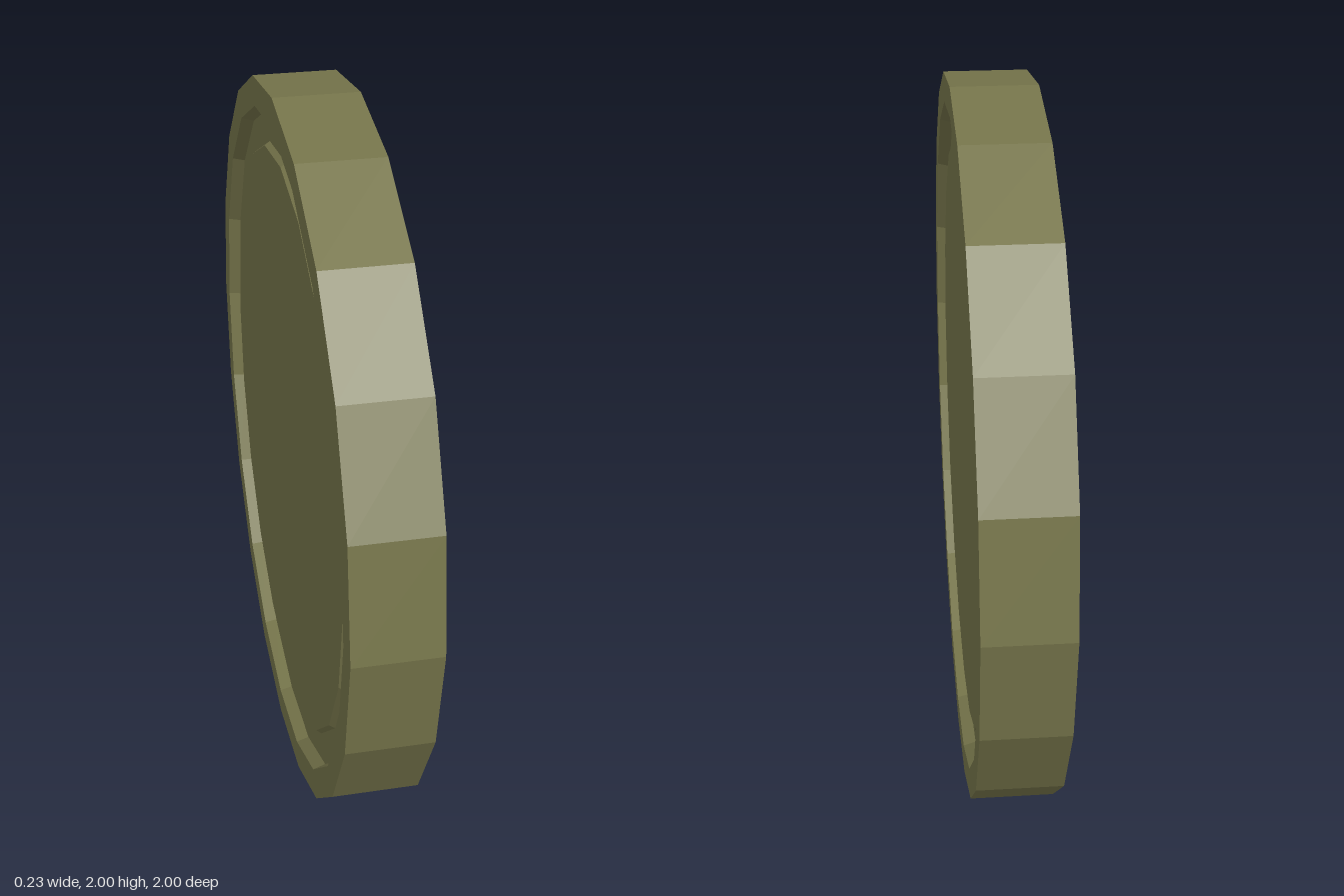
import * as THREE from 'three';

export function createModel() {
  const group = new THREE.Group();
  group.name = 'disc';
  const material = new THREE.MeshStandardMaterial({ color: 0x75744a, flatShading: true });

  // Half profile (radius, height) of one face, from the centre out to the rim
  const face = [
    [0, 0.093],      // slightly sunken centre panel
    [0.815, 0.093],
    [0.825, 0.078],  // groove floor
    [0.91, 0.078],
    [0.92, 0.113],   // raised rim
    [1, 0.113],
  ];
  const lower = face.map(([r, h]) => new THREE.Vector2(r, -h));
  const upper = face.map(([r, h]) => new THREE.Vector2(r, h)).reverse();

  // Twenty-sided disc, the same on both faces, standing on edge with its axis along x
  const geometry = new THREE.LatheGeometry([...lower, ...upper], 20);
  geometry.rotateZ(Math.PI / 2);
  const disc = new THREE.Mesh(geometry, material);
  disc.name = 'groovedDisc';
  disc.position.y = 1;
  group.add(disc);

  return group;
}
